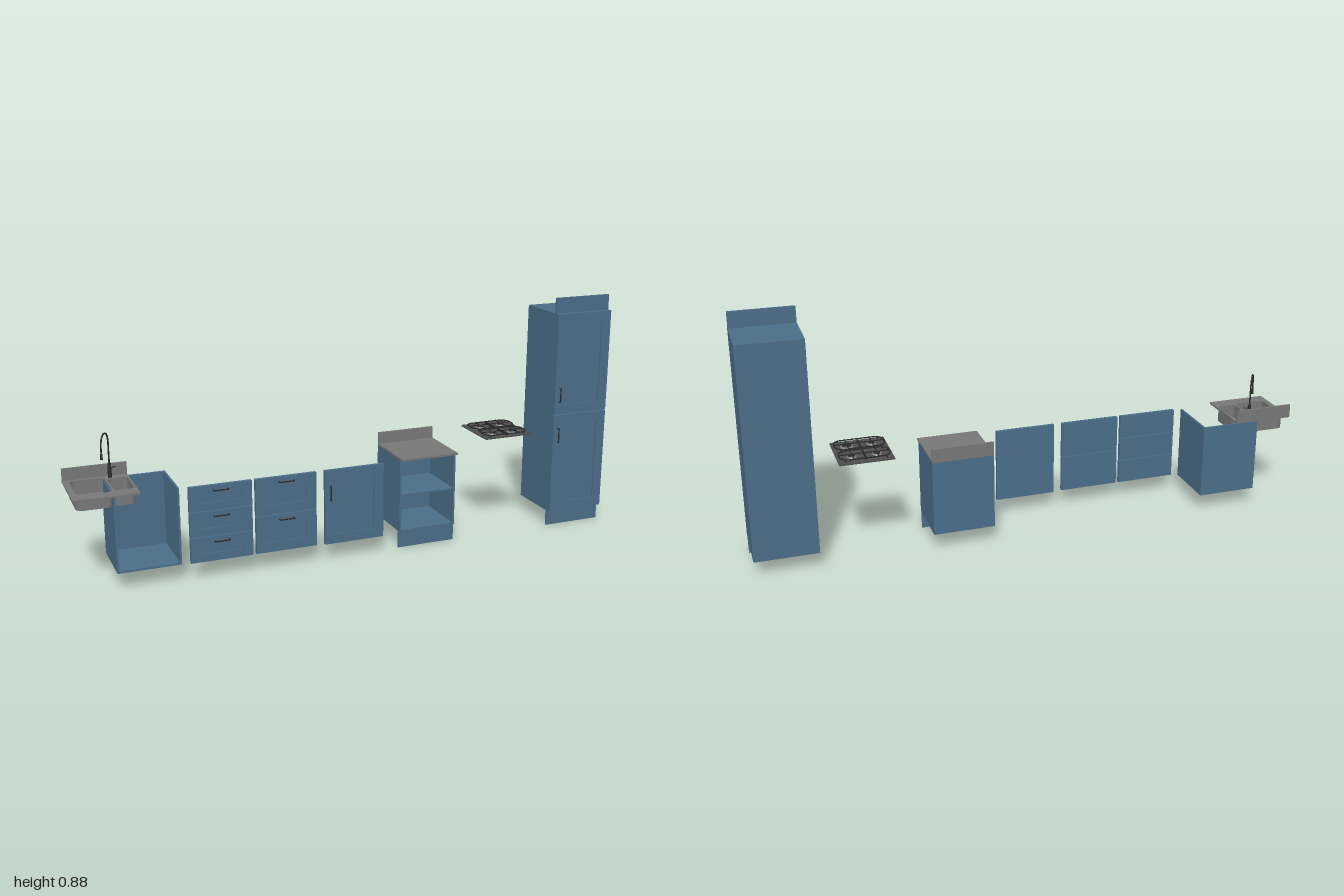
import * as THREE from 'three';

const mat = (color, side = THREE.FrontSide) => new THREE.MeshStandardMaterial({ color, side });
const BLUE = mat(0x4a6d88), STONE = mat(0x777777), STEEL = mat(0x777777, THREE.DoubleSide);
const DARK = mat(0x2a2a2a), GLASS = mat(0x4c4c4c);
const FRONT = 0.09, FACE = 0.104, BACK = -0.112, T = 0.007;

function add(parent, name, geometry, material, x = 0, y = 0, z = 0) {
  const mesh = new THREE.Mesh(geometry, material);
  mesh.name = name;
  mesh.position.set(x, y, z);
  parent.add(mesh);
  return mesh;
}

// Box given by its limits
function box(parent, name, material, x0, x1, y0, y1, z0, z1) {
  return add(parent, name, new THREE.BoxGeometry(x1 - x0, y1 - y0, z1 - z0), material,
    (x0 + x1) / 2, (y0 + y1) / 2, (z0 + z1) / 2);
}

function group(parent, name) {
  const g = new THREE.Group();
  g.name = name;
  parent.add(g);
  return g;
}

function roundedRect(x0, x1, y0, y1, r, Type = THREE.Shape) {
  const s = new Type(), q = Math.PI / 2;
  s.absarc(x1 - r, y1 - r, r, 0, q);
  s.absarc(x0 + r, y1 - r, r, q, 2 * q);
  s.absarc(x0 + r, y0 + r, r, 2 * q, 3 * q);
  s.absarc(x1 - r, y0 + r, r, 3 * q, 4 * q);
  s.closePath();
  return s;
}

function rect(x0, x1, y0, y1, Type = THREE.Shape) {
  return new Type([[x0, y0], [x1, y0], [x1, y1], [x0, y1]].map(p => new THREE.Vector2(...p)));
}

// Horizontal slab: the shape's y axis becomes -z
function slab(shape, height) {
  return new THREE.ExtrudeGeometry(shape, { depth: height, bevelEnabled: false, curveSegments: 6 })
    .rotateX(-Math.PI / 2);
}

function tube(parent, name, points, radius, material, segments = 6) {
  const curve = new THREE.CatmullRomCurve3(points.map(p => new THREE.Vector3(...p)));
  return add(parent, name, new THREE.TubeGeometry(curve, segments, radius, 8), material);
}

// Bar handle on two posts, centred on x, y
function handle(parent, x, y, vertical) {
  const g = group(parent, 'handle');
  const L = 0.055, w = 0.0035;
  box(g, 'handleBar', DARK, -L / 2, L / 2, -w / 2, w / 2, 0.0085, 0.012);
  for (const s of [-1, 1]) {
    const px = s * (L / 2 - w / 2);
    box(g, 'handlePost', DARK, px - w / 2, px + w / 2, -w / 2, w / 2, 0, 0.009);
  }
  g.position.set(x, y, FACE);
  if (vertical) g.rotation.z = Math.PI / 2;
}

// Framed front with a recessed panel
function front(parent, name, x0, x1, y0, y1, insetX = 0.036, insetY = 0.036) {
  const g = group(parent, name);
  const shape = rect(x0, x1, y0, y1);
  shape.holes.push(rect(x0 + insetX, x1 - insetX, y0 + insetY, y1 - insetY, THREE.Path));
  add(g, 'frame', new THREE.ExtrudeGeometry(shape, { depth: FACE - FRONT, bevelEnabled: false }), BLUE, 0, 0, FRONT);
  box(g, 'recessedPanel', BLUE, x0 + insetX, x1 - insetX, y0 + insetY, y1 - insetY, FRONT, FACE - 0.005);
  return g;
}

// Carcass open at the front
function carcass(parent, name, x0, x1, y0, y1) {
  const g = group(parent, name);
  box(g, 'leftSide', BLUE, x1 - T, x1, y0, y1, BACK, FRONT);
  box(g, 'rightSide', BLUE, x0, x0 + T, y0, y1, BACK, FRONT);
  box(g, 'floor', BLUE, x0 + T, x1 - T, y0, y0 + T, BACK, FRONT);
  box(g, 'backPanel', BLUE, x0 + T, x1 - T, y0 + T, y1, BACK, BACK + T);
  return g;
}

function buildSink(root) {
  const g = group(root, 'sink');
  const bowls = [[-0.98, -0.862, -0.063, 0.095, 0.02], [-0.855, -0.787, -0.055, 0.075, 0.018]];
  const top = rect(-1, -0.78, -0.108, 0.112);
  for (const b of bowls) top.holes.push(roundedRect(...b, THREE.Path));
  add(g, 'sinkTop', slab(top, T), STEEL, 0, 0.335, 0);
  bowls.forEach(([x0, x1, y0, y1, r], i) => {
    const wall = roundedRect(x0 - 0.003, x1 + 0.003, y0 - 0.003, y1 + 0.003, r + 0.003);
    wall.holes.push(roundedRect(x0, x1, y0, y1, r, THREE.Path));
    add(g, 'bowlWall', slab(wall, 0.046), STEEL, 0, 0.289, 0);
    if (i === 0) {
      add(g, 'bowlFloor', slab(roundedRect(x0, x1, y0, y1, r), 0.003), STEEL, 0, 0.289, 0);
      add(g, 'drain', new THREE.CylinderGeometry(0.011, 0.011, 0.002, 20), STONE, -0.921, 0.293, -0.016);
    }
  });
  box(g, 'backsplash', STONE, -1, -0.78, 0.342, 0.385, BACK, BACK + T);

  // Swan neck tap turned towards the main bowl
  const tap = group(g, 'tap');
  add(tap, 'tapBase', new THREE.CylinderGeometry(0.006, 0.007, 0.05, 16), DARK, 0, 0.025, 0);
  tube(tap, 'tapNeck', [[0, 0.04, 0], [0, 0.1, 0], [0, 0.13, 0], [0.007, 0.152, 0], [0.025, 0.162, 0],
    [0.044, 0.152, 0], [0.052, 0.13, 0], [0.053, 0.1, 0]], 0.003, DARK, 32);
  add(tap, 'spout', new THREE.CylinderGeometry(0.0035, 0.0045, 0.02, 12), DARK, 0.053, 0.088, 0);
  const lever = add(tap, 'lever', new THREE.CylinderGeometry(0.002, 0.002, 0.024, 8), DARK, 0, 0.036, -0.01);
  lever.rotation.x = -1.2;
  tap.position.set(-0.842, 0.342, -0.088);
  tap.rotation.y = Math.PI + 0.93;
}

function buildHob(root) {
  const g = group(root, 'hob');
  add(g, 'hobPlate', slab(roundedRect(0.505, 0.695, -0.083, 0.118, 0.004), 0.004), GLASS, 0, 0.37, 0);
  for (const z of [-0.06, 0.034]) {
    // Rounded rail that joins a pair of burners
    const rail = roundedRect(0.512, 0.688, -z - 0.043, -z + 0.043, 0.032);
    rail.holes.push(roundedRect(0.516, 0.684, -z - 0.039, -z + 0.039, 0.028, THREE.Path));
    add(g, 'grateRail', slab(rail, 0.003), DARK, 0, 0.38, 0);
    box(g, 'grateDivider', DARK, 0.598, 0.602, 0.374, 0.383, z - 0.039, z + 0.039);
    for (const x of [0.557, 0.643]) {
      const r = x > 0.6 && z > 0 ? 0.021 : 0.015;
      add(g, 'burnerRing', new THREE.CylinderGeometry(r, r + 0.003, 0.004, 24), STONE, x, 0.376, z);
      add(g, 'burnerCap', new THREE.CylinderGeometry(r * 0.75, r * 0.8, 0.003, 24), DARK, x, 0.3795, z);
      for (let i = 0; i < 4; i++) {
        const a = i * Math.PI / 2;
        const bar = add(g, 'grateFinger', new THREE.BoxGeometry(0.031, 0.003, 0.003), DARK,
          x + Math.cos(a) * 0.0255, 0.3835, z - Math.sin(a) * 0.0255);
        bar.rotation.y = a;
      }
    }
    for (const x of [0.53, 0.67]) for (const s of [-1, 1])
      box(g, 'grateFoot', DARK, x - 0.002, x + 0.002, 0.374, 0.381, z + s * 0.04 - 0.002, z + s * 0.04 + 0.002);
  }
}

export function createModel() {
  const root = new THREE.Group();
  root.name = 'kitchenUnits';

  // Sink with its open cabinet
  buildSink(root);
  carcass(root, 'sinkCabinet', -0.867, -0.648, 0.062, 0.335);

  // Drawer fronts: a stack of three and a stack of two
  for (const [name, x0, x1, count] of [['threeDrawerFronts', -0.62, -0.4, 3], ['twoDrawerFronts', -0.388, -0.167, 2]]) {
    const stack = group(root, name);
    const h = 0.273 / count;
    for (let i = 0; i < count; i++) {
      const top = 0.335 - i * h;
      front(stack, 'drawerFront', x0, x1, top - h + 0.003, top, 0.036, count === 3 ? 0.028 : 0.036);
      handle(stack, (x0 + x1) / 2, top - 0.017, false);
    }
  }

  // Single door
  const door = front(root, 'cabinetDoor', -0.135, 0.087, 0.062, 0.335);
  handle(door, -0.116, 0.252, true);

  // Open base cabinet with worktop
  const base = carcass(root, 'baseCabinet', 0.157, 0.378, 0.062, 0.335);
  box(base, 'shelf', BLUE, 0.164, 0.371, 0.196, 0.203, BACK + T, FRONT - 0.004);
  box(base, 'plinth', BLUE, 0.157, 0.378, 0, 0.06, 0.076, 0.083);
  box(base, 'worktop', STONE, 0.157, 0.378, 0.335, 0.342, BACK, 0.108);
  box(base, 'backsplash', STONE, 0.157, 0.378, 0.342, 0.385, BACK, BACK + T);

  buildHob(root);

  // Tall cabinet with two doors, plinth and cornice
  const tall = group(root, 'tallCabinet');
  box(tall, 'tallBody', BLUE, 0.777, 1, 0.058, 0.82, BACK, FRONT);
  box(tall, 'plinth', BLUE, 0.777, 1, 0, 0.058, 0.076, 0.084);
  box(tall, 'cornice', BLUE, 0.777, 1, 0.82, 0.877, 0.076, 0.084);
  front(tall, 'lowerDoor', 0.777, 1, 0.06, 0.439);
  front(tall, 'upperDoor', 0.777, 1, 0.442, 0.82);
  handle(tall, 0.795, 0.362, true);
  handle(tall, 0.795, 0.517, true);

  return root;
}
